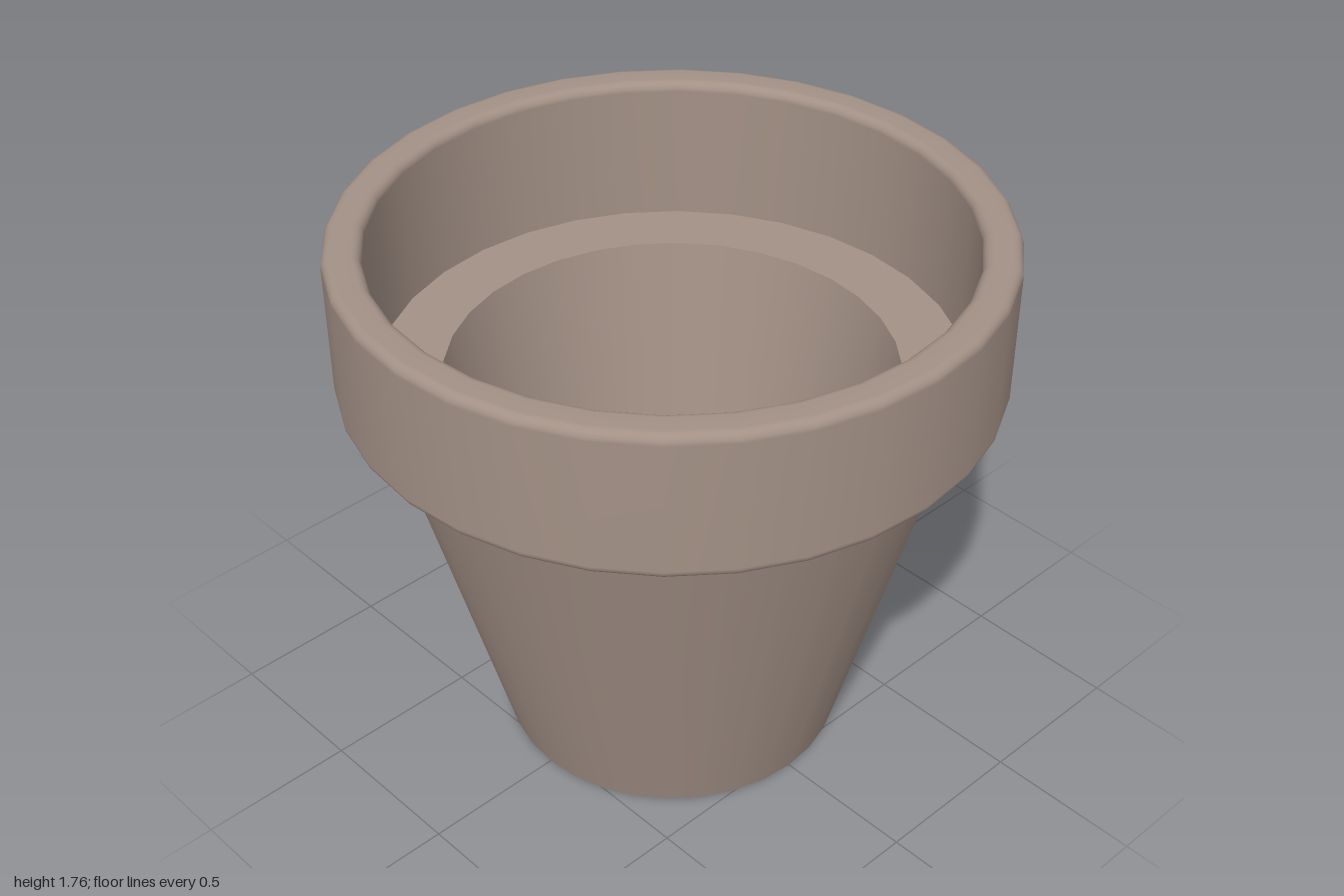
import * as THREE from 'three';

const SIDES = 32;

export function createModel() {
  const group = new THREE.Group();
  group.name = 'flowerPot';

  const clay = new THREE.MeshStandardMaterial({ color: 0xa39186 });
  clay.name = 'clay';

  // Each profile is one smooth band; separate bands meet at sharp edges.
  // Outward faces run up, inward faces run down.
  const band = (name, profile) => {
    const points = profile.map(([r, y]) => new THREE.Vector2(r, y));
    const mesh = new THREE.Mesh(new THREE.LatheGeometry(points, SIDES), clay);
    mesh.name = name;
    group.add(mesh);
  };

  // Quarter-circle points for a rounded rim edge
  const round = (cx, cy, radius, startDeg) =>
    [0, 1, 2, 3, 4].map((i) => {
      const a = THREE.MathUtils.degToRad(startDeg + i * 22.5);
      return [cx + radius * Math.cos(a), cy + radius * Math.sin(a)];
    });

  // Tapered body
  band('bodyWall', [[0.54, 0], [0.88, 1.29]]);

  // Thick collar: underside, rounded outer face, rounded lip, inner face
  band('rim', [
    [0.88, 1.29],
    ...round(0.97, 1.32, 0.03, -90),
    ...round(0.97, 1.73, 0.03, 0),
    ...round(0.915, 1.73, 0.03, 90),
    [0.885, 1.29],
  ]);

  // Step inside the collar, inner taper and floor
  band('innerLedge', [[0.885, 1.29], [0.685, 1.29]]);
  band('innerWall', [[0.685, 1.29], [0.49, 0.2]]);
  band('innerFloor', [[0.49, 0.2], [0, 0.2]]);

  // Recess under the base
  band('baseUnderside', [[0, 0.115], [0.5, 0.115]]);
  band('baseRecessWall', [[0.5, 0.115], [0.54, 0]]);

  return group;
}
